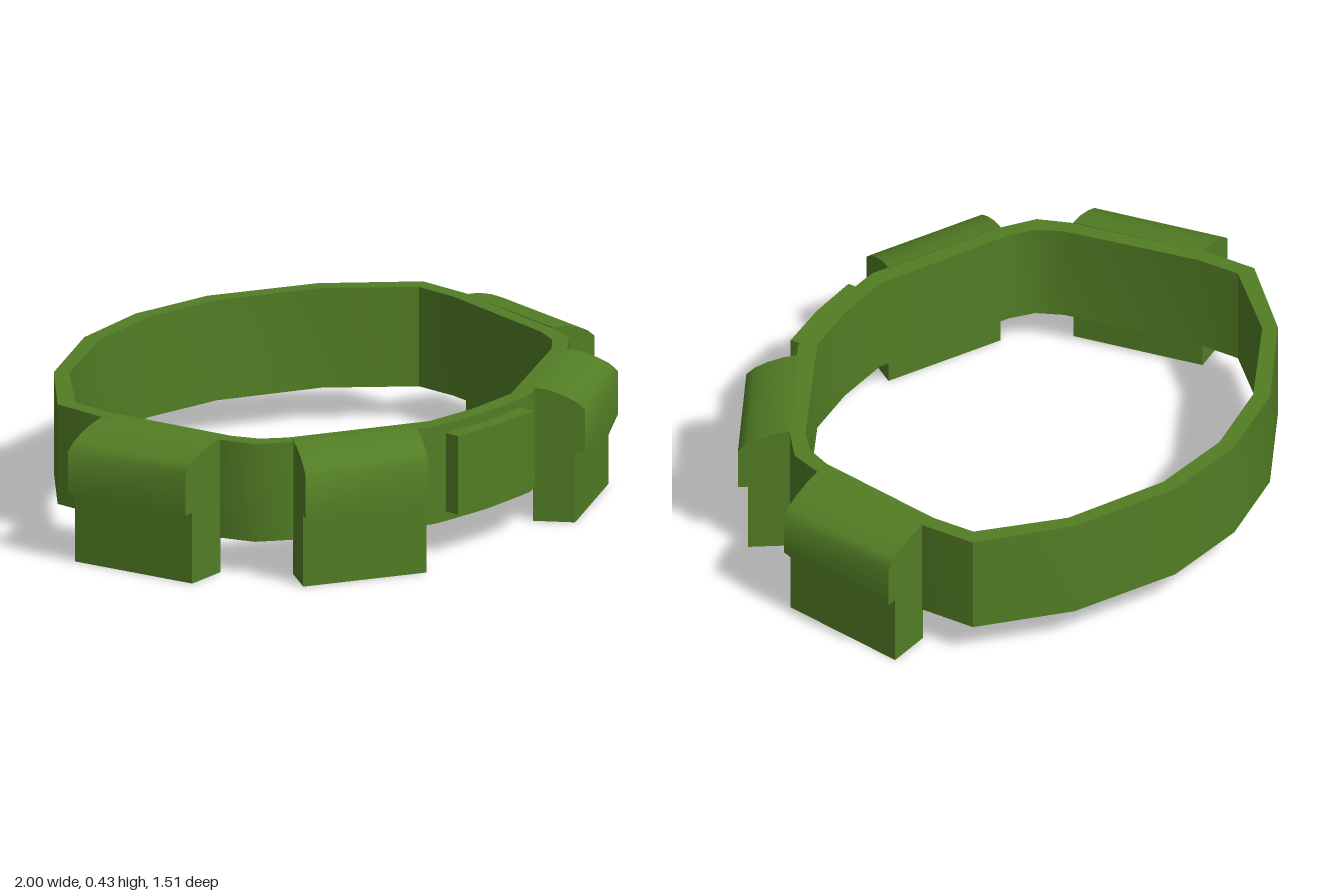
import * as THREE from 'three';
import { toCreasedNormals } from 'three/addons/utils/BufferGeometryUtils.js';

// Half outlines (x, z) from back centre to front centre
const OUTER = [[0, -0.757], [0.28, -0.715], [0.6, -0.552], [0.83, -0.33], [0.83, -0.15],
  [0.755, 0.26], [0.715, 0.37], [0.625, 0.44], [0.22, 0.655], [0.17, 0.661], [0, 0.672]];
const INNER = [[0, -0.705], [0.265, -0.665], [0.572, -0.513], [0.78, -0.302], [0.78, -0.16],
  [0.702, 0.265], [0.665, 0.345], [0.6, 0.4], [0.185, 0.607], [0, 0.621]];

// Mirror a half outline into a closed loop in the shape plane
function loop(half) {
  const other = half.slice(1, -1).reverse().map(([x, z]) => [-x, z]);
  return [...half, ...other].map(([x, z]) => new THREE.Vector2(x, -z));
}

function extrude(points, depth) {
  const shape = points instanceof THREE.Shape ? points
    : new THREE.Shape(points.map(([x, y]) => new THREE.Vector2(x, y)));
  return new THREE.ExtrudeGeometry(shape, { depth, bevelEnabled: false });
}

export function createModel() {
  const model = new THREE.Group();
  model.name = 'pouchBelt';
  const green = new THREE.MeshStandardMaterial({ color: 0x527d24 });
  green.name = 'olive green';

  function add(parent, name, geometry, crease = 0.6) {
    const mesh = new THREE.Mesh(toCreasedNormals(geometry, crease), green);
    mesh.name = name;
    parent.add(mesh);
  }

  // Belt band, its top rim rising slightly toward the back;
  // the hole winds opposite to the outline so the inner wall faces inward
  const ring = new THREE.Shape(loop(OUTER).reverse());
  ring.holes.push(new THREE.Path(loop(INNER)));
  const band = extrude(ring, 0.314).rotateX(-Math.PI / 2).translate(0, 0.11, 0);
  const pos = band.attributes.position;
  for (let i = 0; i < pos.count; i++) {
    if (pos.getY(i) > 0.3) pos.setY(i, 0.424 - 0.007 * pos.getZ(i));
  }
  add(model, 'beltBand', band);

  // Buckle plate, slightly bent to follow the front of the belt
  const plate = [[-0.17, -0.655], [-0.17, -0.71], [0, -0.72], [0.17, -0.71], [0.17, -0.655], [0, -0.665]];
  add(model, 'bucklePlate', extrude(plate, 0.25).rotateX(-Math.PI / 2).translate(0, 0.14, 0));

  // Pouch in unit space: x = depth away from belt, y = height, z = along belt
  const lidProfile = [[0, 0.225], [1, 0.225], [1, 0.36], [0.84, 0.383],
    [0.6, 0.402], [0.3, 0.418], [0, 0.425]];
  function addPouch(name, [ox, oz], [dx, dz], [ux, uz]) {
    const group = new THREE.Group();
    group.name = name;
    const place = new THREE.Matrix4().makeBasis(
      new THREE.Vector3(dx, 0, dz), new THREE.Vector3(0, 1, 0), new THREE.Vector3(ux, 0, uz),
    ).setPosition(ox, 0, oz);
    const body = extrude([[0, 0], [0.81, 0], [0.81, 0.225], [0, 0.225]], 1);
    const lid = extrude(lidProfile, 1);
    const flap = extrude([[-1, 0.225], [-0.5, 0.17], [0, 0.225]], 0.19)
      .rotateY(Math.PI / 2).translate(0.81, 0, 0);
    add(group, 'pouchBody', body.applyMatrix4(place));
    add(group, 'pouchLid', lid.applyMatrix4(place), 1);
    add(group, 'lidPoint', flap.applyMatrix4(place));
    model.add(group);
  }

  // Two pouches on each side of the belt
  const pouches = [
    ['SidePouch', [0.825, -0.15], [0.175, 0.016], [-0.072, 0.414]],
    ['FrontPouch', [0.62, 0.442], [0.09, 0.131], [-0.355, 0.183]],
  ];
  for (const [name, o, d, u] of pouches) {
    addPouch('left' + name, o, d, u);
    addPouch('right' + name, [-(o[0] + u[0]), o[1] + u[1]], [-d[0], d[1]], [u[0], -u[1]]);
  }
  return model;
}
